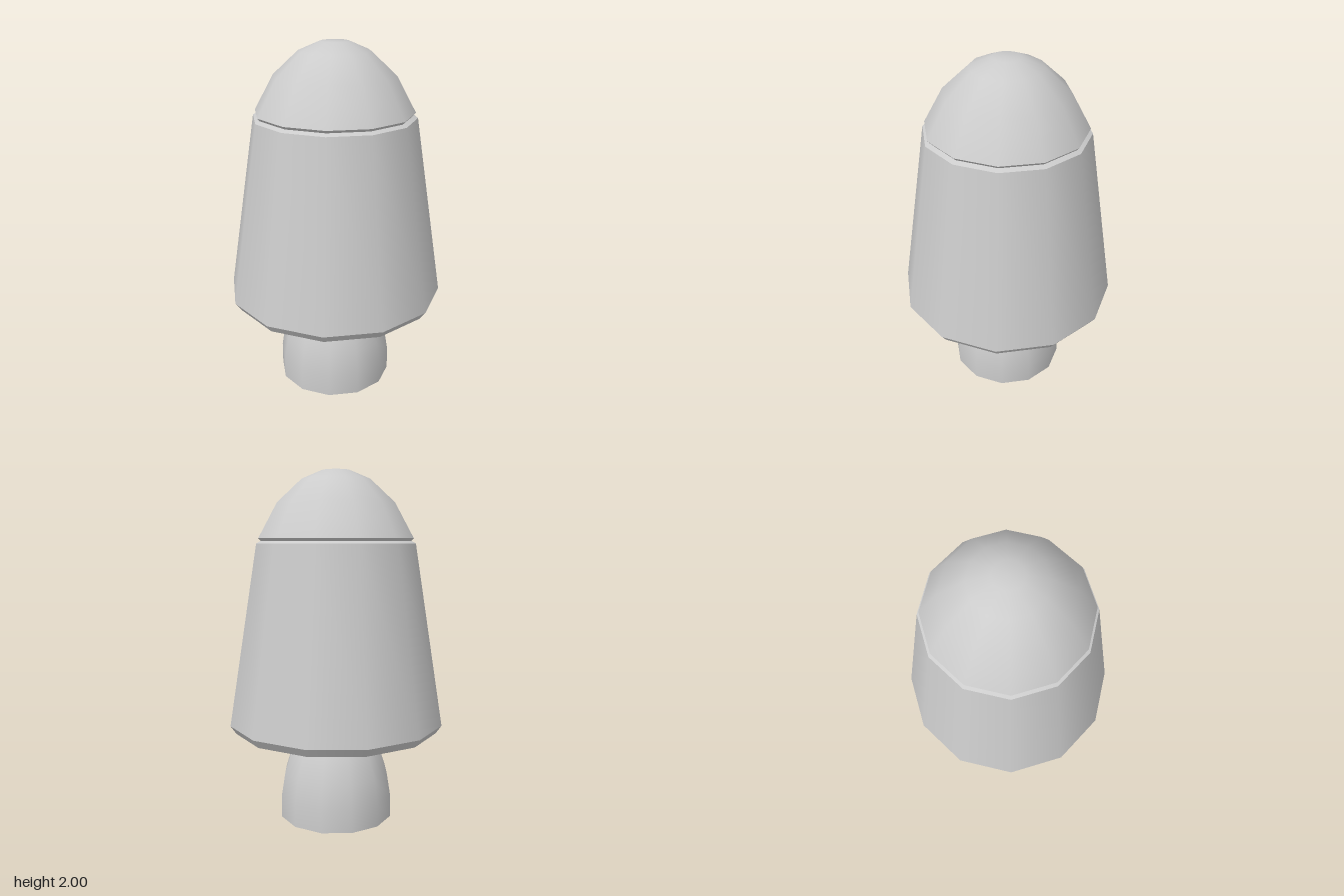
import * as THREE from 'three';

const SIDES = 12;

export function createModel() {
  const model = new THREE.Group();
  model.name = 'capsule';
  const material = new THREE.MeshStandardMaterial({ color: 0xcccccc });

  // Each run of [radius, y] points is smooth; edges between runs stay sharp.
  function turned(name, runs) {
    const part = new THREE.Group();
    part.name = name;
    runs.forEach((run, i) => {
      const points = run.map(([r, y]) => new THREE.Vector2(r, y));
      const mesh = new THREE.Mesh(new THREE.LatheGeometry(points, SIDES), material);
      mesh.name = `${name}Surface${i + 1}`;
      part.add(mesh);
    });
    model.add(part);
  }

  // Engine bell with a shallow hollow underneath
  turned('nozzle', [
    [[0, 0.13], [0.29, 0.13]],
    [[0.29, 0.13], [0.29, 0]],
    [[0.29, 0], [0.33, 0]],
    [[0.33, 0], [0.33, 0.13], [0.308, 0.265], [0.264, 0.4], [0.195, 0.525]],
  ]);

  // Tapered body with a chamfered base and a narrow top shoulder
  turned('body', [
    [[0, 0.525], [0.587, 0.525]],
    [[0.587, 0.525], [0.62, 0.572]],
    [[0.62, 0.572], [0.455, 1.597]],
    [[0.455, 1.597], [0.43, 1.61]],
  ]);

  // Rounded nose, undercut to form the groove above the body
  turned('nose', [
    [[0.43, 1.61], [0.443, 1.625]],
    [[0.443, 1.625], [0.336, 1.82], [0.196, 1.95], [0.079, 2], [0, 2]],
  ]);

  return model;
}
